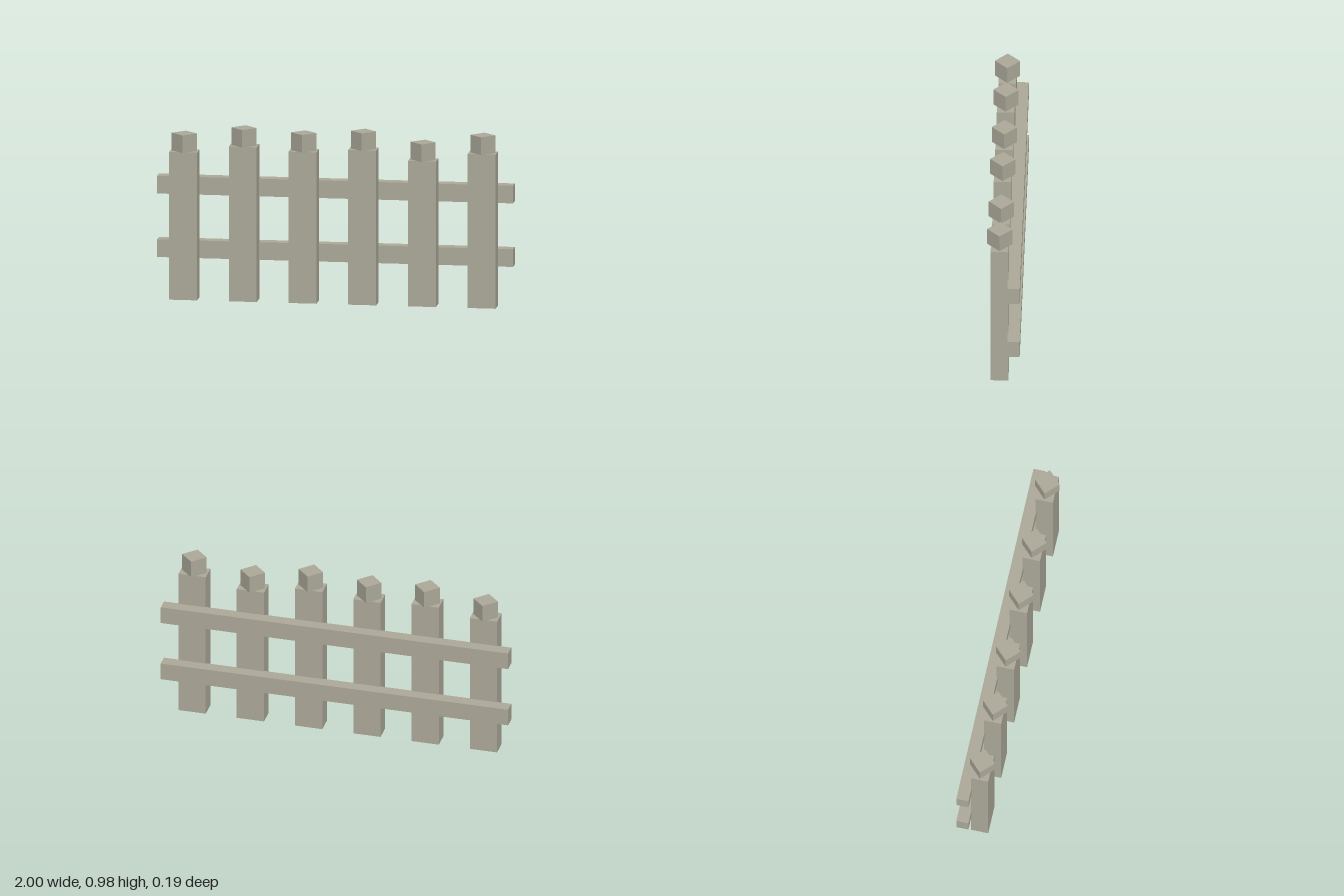
import * as THREE from 'three';

export function createModel() {
  const fence = new THREE.Group();
  fence.name = 'picketFence';
  const wood = new THREE.MeshStandardMaterial({ color: 0xaba898 });
  wood.name = 'weatheredWood';

  const addBox = (parent, name, size, position) => {
    const mesh = new THREE.Mesh(new THREE.BoxGeometry(...size), wood);
    mesh.name = name;
    mesh.position.set(...position);
    parent.add(mesh);
    return mesh;
  };

  // Pickets of uneven height, each with a small block turned 45 degrees on top
  const heights = [0.837, 0.877, 0.858, 0.877, 0.824, 0.873];
  const capSize = 0.1;
  heights.forEach((height, i) => {
    const picket = new THREE.Group();
    picket.name = `picket${i + 1}`;
    picket.position.set((i - 2.5) * 0.3355 - 0.002, 0, 0.0225);
    addBox(picket, 'post', [0.157, height, 0.099], [0, height / 2, 0]);
    const cap = addBox(picket, 'cap', [capSize, capSize, capSize], [0, height + capSize / 2, 0]);
    cap.rotation.y = Math.PI / 4;
    fence.add(picket);
  });

  // Two rails across the back, slightly set into the posts
  addBox(fence, 'lowerRail', [2, 0.1, 0.069], [0, 0.271, -0.0575]);
  addBox(fence, 'upperRail', [2, 0.1, 0.069], [0, 0.631, -0.0575]);

  return fence;
}
